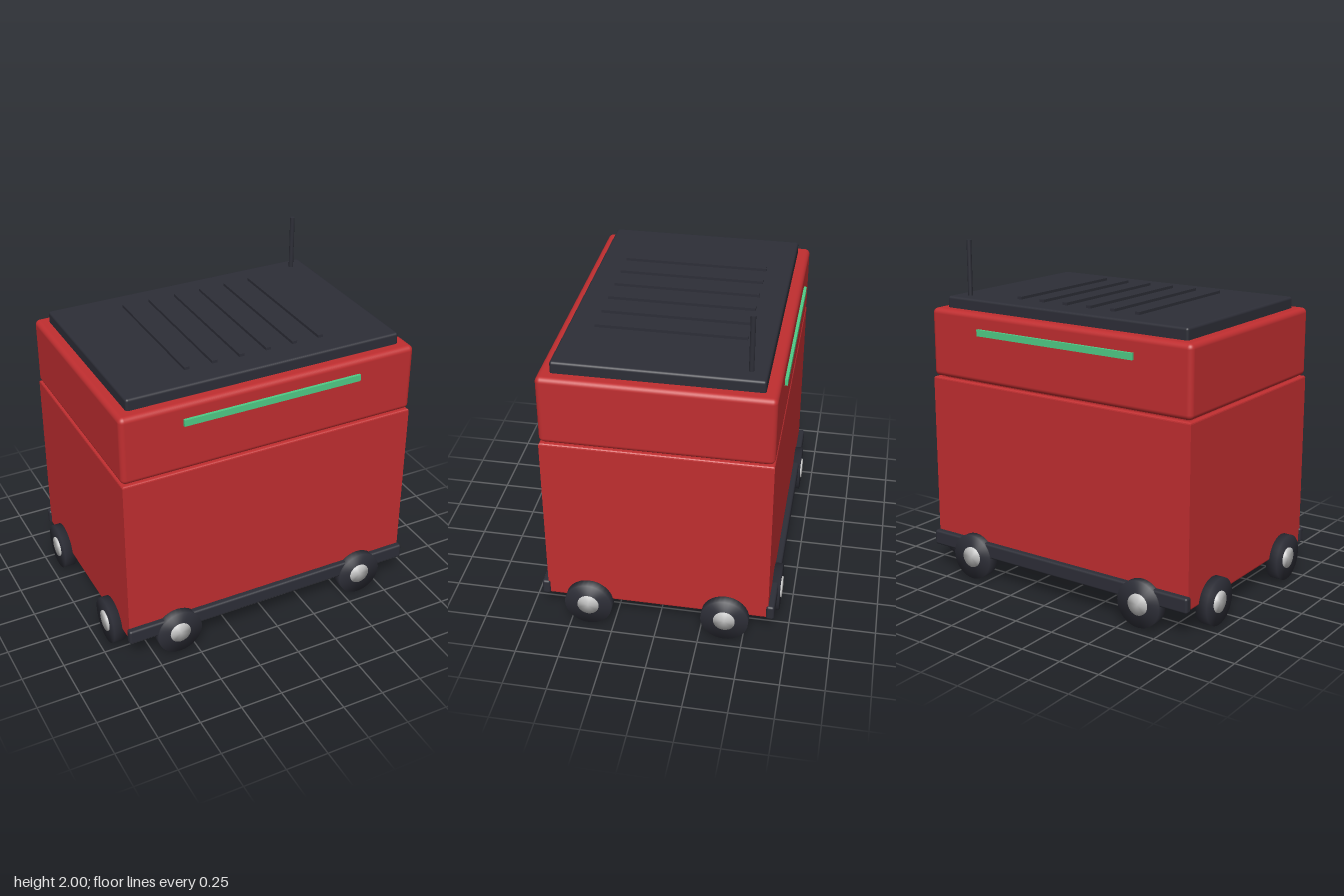
import * as THREE from 'three';
import { mergeVertices } from 'three/addons/utils/BufferGeometryUtils.js';
import { RoundedBoxGeometry } from 'three/addons/geometries/RoundedBoxGeometry.js';

function material(name, color, side = THREE.FrontSide) {
  const m = new THREE.MeshStandardMaterial({ color, side });
  m.name = name;
  return m;
}

// Rectangle path centred on the origin
function rect(PathType, hw, hd) {
  const p = new PathType();
  p.moveTo(-hw, -hd);
  p.lineTo(hw, -hd);
  p.lineTo(hw, hd);
  p.lineTo(-hw, hd);
  p.closePath();
  return p;
}

// Cylinder whose caps and sides share normals, for a soft rounded look
function softCylinder(radius, length) {
  const g = new THREE.CylinderGeometry(radius, radius, length, 32);
  g.deleteAttribute('normal');
  g.deleteAttribute('uv');
  const merged = mergeVertices(g);
  merged.computeVertexNormals();
  return merged.rotateX(Math.PI / 2);
}

export function createModel() {
  const model = new THREE.Group();
  model.name = 'wheeledBox';

  const red = material('red paint', 0xc02e30, THREE.DoubleSide);
  const dark = material('dark plastic', 0x2d2e37);
  const green = material('green light', 0x4fcb86);
  const silver = material('silver hub', 0xc6c6c6);

  const add = (name, geometry, mat, x = 0, y = 0, z = 0, parent = model) => {
    const mesh = new THREE.Mesh(geometry, mat);
    mesh.name = name;
    mesh.position.set(x, y, z);
    parent.add(mesh);
    return mesh;
  };

  // Hollow body, open underneath
  const bevel = 0.012, wall = 0.035;
  const W = 0.895, D = 0.638;
  const ring = rect(THREE.Shape, W - bevel, D - bevel);
  ring.holes.push(rect(THREE.Path, W - wall + bevel, D - wall + bevel));
  const body = new THREE.ExtrudeGeometry(ring, {
    depth: 1.05 - 2 * bevel, bevelEnabled: true,
    bevelSize: bevel, bevelThickness: bevel, bevelSegments: 3,
  });
  body.rotateX(-Math.PI / 2);
  add('body', body, red, 0, 0.15 + bevel, 0);

  // Lid and its top panel
  add('lid', new RoundedBoxGeometry(2 * W, 0.405, 2 * D, 4, 0.03), red, 0, 1.4075, 0);
  add('topPanel', new RoundedBoxGeometry(1.655, 0.085, 1.14, 3, 0.015), dark, 0, 1.634, 0);

  // Raised ribs on the panel
  for (let i = 0; i < 6; i++) {
    add('rib', new THREE.BoxGeometry(0.03, 0.025, 0.84), dark, (i - 2.5) * 0.164, 1.68, 0);
  }

  // Antenna
  add('antenna', new THREE.CylinderGeometry(0.014, 0.014, 0.34, 16), dark, 0.73, 1.83, -0.48);

  // Light strips and bumpers, front and back
  for (const s of [1, -1]) {
    add('lightStrip', new THREE.BoxGeometry(1.075, 0.038, 0.03), green, 0, 1.504, s * 0.64);
    add('bumper', new RoundedBoxGeometry(1.815, 0.09, 0.046, 3, 0.014), dark, 0, 0.195, s * 0.65);
  }

  // Two wheels on each of the four sides
  const tyreGeometry = softCylinder(0.137, 0.07);
  const hubGeometry = softCylinder(0.062, 0.08);
  const addWheel = (x, z, turn) => {
    const wheel = new THREE.Group();
    wheel.name = 'wheel';
    wheel.position.set(x, 0.137, z);
    wheel.rotation.y = turn;
    add('tyre', tyreGeometry, dark, 0, 0, 0, wheel);
    add('hub', hubGeometry, silver, 0, 0, 0.003, wheel);
    model.add(wheel);
  };
  for (const s of [1, -1]) {
    for (const t of [1, -1]) {
      addWheel(t * 0.6, s * 0.648, s > 0 ? 0 : Math.PI);
      addWheel(s * 0.91, t * 0.395, s * Math.PI / 2);
    }
  }

  return model;
}
